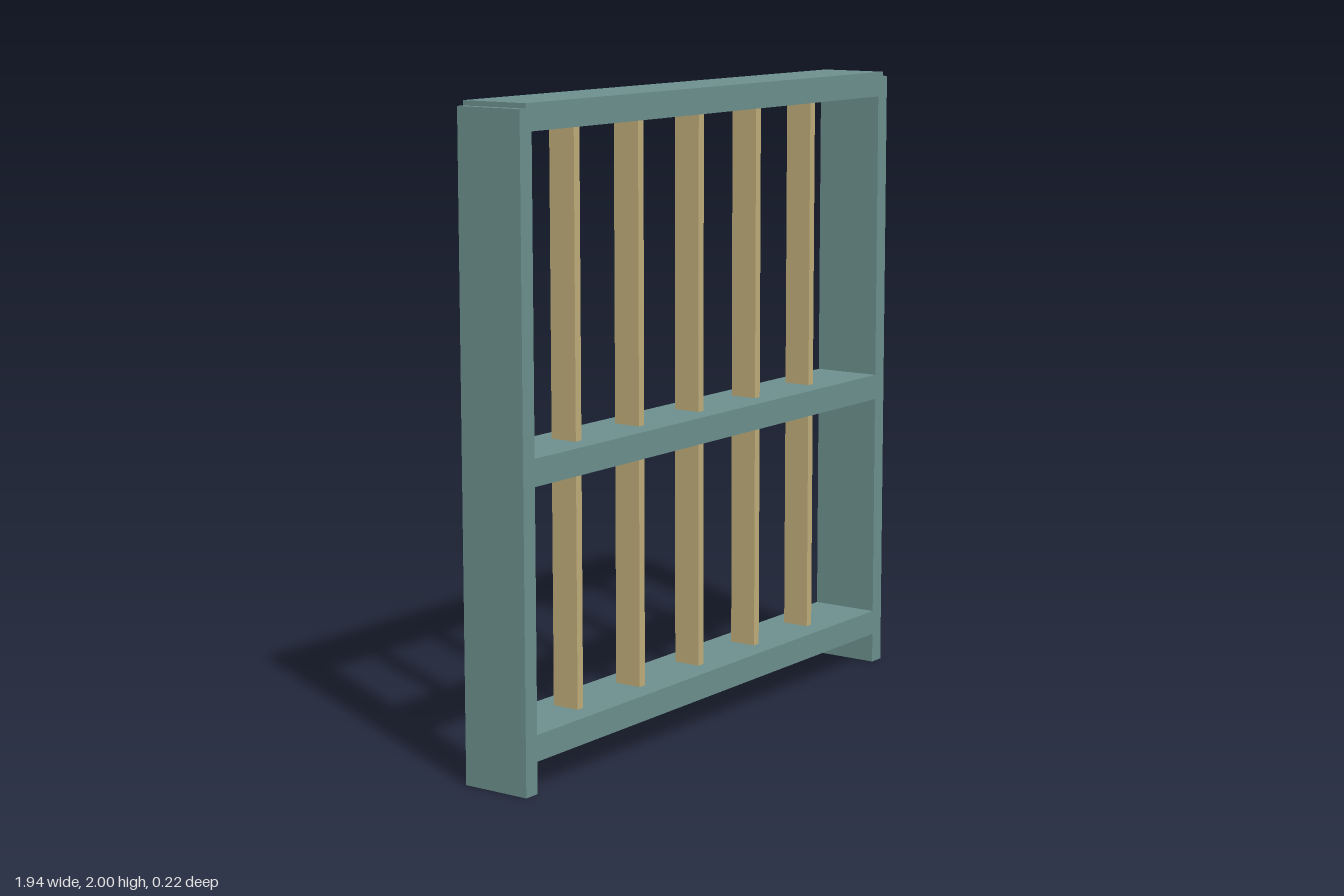
import * as THREE from 'three';

export function createModel() {
  const group = new THREE.Group();
  group.name = 'barredFrame';
  const frameGreen = new THREE.MeshStandardMaterial({ name: 'frameGreen', color: 0x6d918e });
  const slatTan = new THREE.MeshStandardMaterial({ name: 'slatTan', color: 0xc2ae7a });

  const depth = 0.225, outer = 0.971, inner = 0.918, lap = 0.945;
  const postTop = 1.985;

  function add(name, geometry, material, x, y, z = 0) {
    const mesh = new THREE.Mesh(geometry, material);
    mesh.name = name;
    mesh.position.set(x, y, z);
    group.add(mesh);
  }
  function addBox(name, material, w, d, x, y0, y1) {
    add(name, new THREE.BoxGeometry(w, y1 - y0, d), material, x, (y0 + y1) / 2);
  }

  // Side posts, reaching the ground
  for (const [name, side] of [['leftPost', 1], ['rightPost', -1]]) {
    addBox(name, frameGreen, outer - inner, depth, side * (outer + inner) / 2, 0, postTop);
  }

  // Lower and middle rails fitted between the posts
  addBox('bottomRail', frameGreen, inner * 2, depth, 0, 0.097, 0.177);
  addBox('middleRail', frameGreen, inner * 2, depth, 0, 0.908, 0.99);

  // Top rail, notched to lap over the inner half of each post
  const profile = new THREE.Shape([
    [-inner, 1.92], [inner, 1.92], [inner, postTop], [lap, postTop],
    [lap, 2], [-lap, 2], [-lap, postTop], [-inner, postTop],
  ].map(([x, y]) => new THREE.Vector2(x, y)));
  const topRail = new THREE.ExtrudeGeometry(profile, { depth, bevelEnabled: false });
  add('topRail', topRail, frameGreen, 0, 0, -depth / 2);

  // Five upright slats in two tiers, stopping just short of the top rail
  for (let i = -2; i <= 2; i++) {
    addBox('lowerSlat', slatTan, 0.027, 0.09, i * 0.3125, 0.177, 0.908);
    addBox('upperSlat', slatTan, 0.027, 0.09, i * 0.3125, 0.99, 1.912);
  }
  return group;
}
